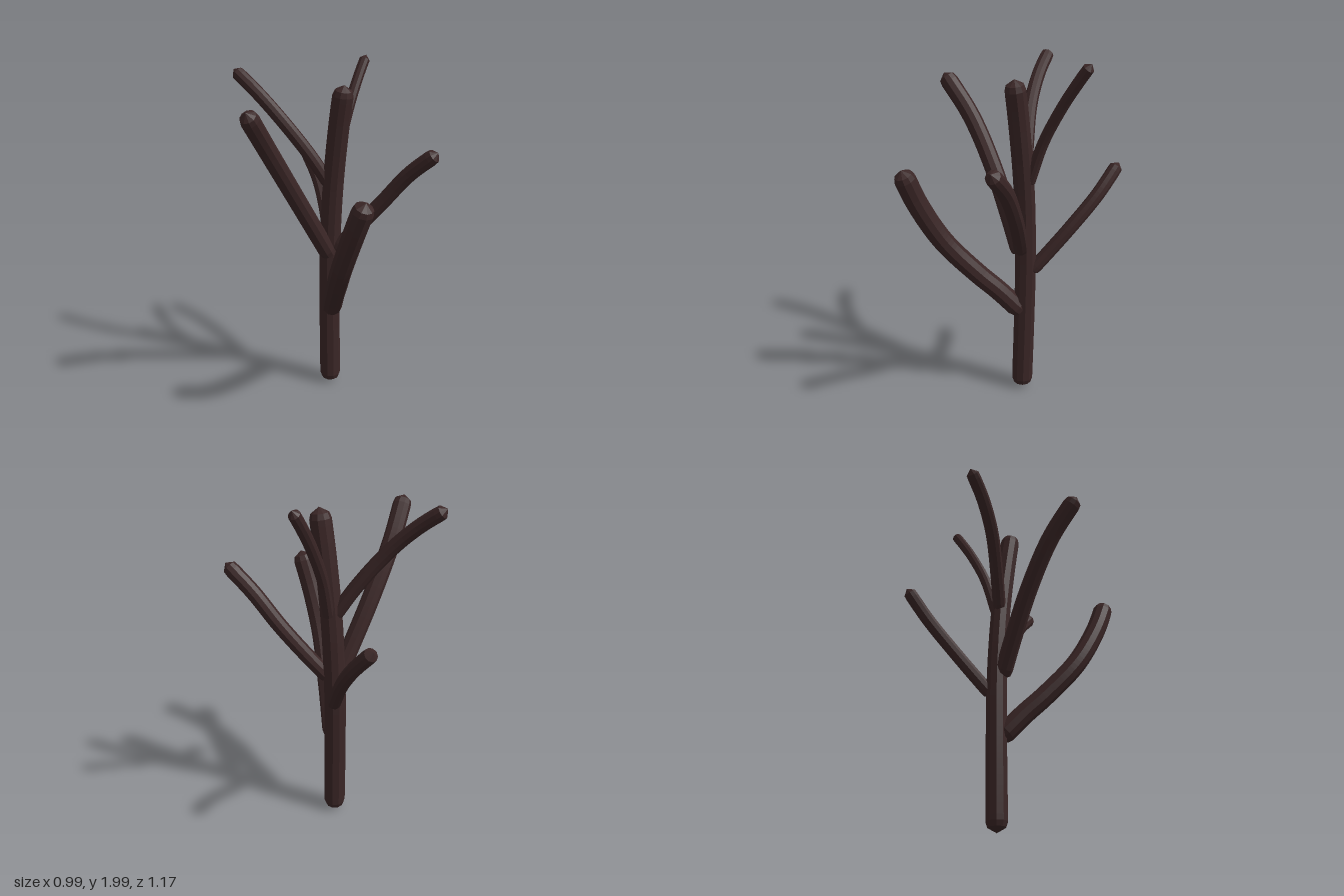
import * as THREE from 'three';

// Limb: a tube along a curve whose rings close into a short dome at both ends
function limbGeometry(points, radius, taper) {
  const curve = new THREE.CatmullRomCurve3(points.map((p) => new THREE.Vector3(...p)));
  const length = curve.getLength();
  const segments = Math.round(length / 0.03);
  const sides = 10;
  const geometry = new THREE.TubeGeometry(curve, segments, radius, sides, false);
  const pos = geometry.attributes.position;
  const v = new THREE.Vector3();
  const cap = radius * 1.1;
  for (let i = 0; i <= segments; i++) {
    const t = i / segments;
    const centre = curve.getPointAt(t);
    const d = Math.min(1, (Math.min(t, 1 - t) * length) / cap);
    const scale = Math.sqrt(1 - (1 - d) ** 2) * (1 + (taper - 1) * t);
    for (let j = 0; j <= sides; j++) {
      const k = i * (sides + 1) + j;
      v.fromBufferAttribute(pos, k).sub(centre).multiplyScalar(scale).add(centre);
      pos.setXYZ(k, v.x, v.y, v.z);
    }
  }
  geometry.computeVertexNormals();
  return geometry;
}

const limbs = [
  { name: 'trunk', r: 0.063, taper: 0.92, path: [
    [0.137, 0.01, -0.053], [0.137, 0.5, -0.064], [0.138, 0.9, -0.066],
    [0.14, 1.3, -0.046], [0.143, 1.65, -0.005], [0.147, 1.9, 0.035]] },
  { name: 'lowFrontBranch', r: 0.059, taper: 1, path: [
    [0.14, 0.52, -0.05], [0.06, 0.675, 0.07], [-0.005, 0.79, 0.17],
    [-0.1, 1.0, 0.33], [-0.138, 1.235, 0.46], [-0.138, 1.45, 0.555]] },
  { name: 'leftSideBranch', r: 0.051, taper: 1, path: [
    [0.125, 0.88, -0.045], [0, 1.1, -0.053], [-0.14, 1.34, -0.055],
    [-0.31, 1.61, -0.03], [-0.475, 1.84, 0.037]] },
  { name: 'frontRightBranch', r: 0.043, taper: 1, path: [
    [0.14, 0.92, -0.03], [0.22, 1.05, 0.05], [0.323, 1.24, 0.172],
    [0.4, 1.42, 0.295], [0.468, 1.565, 0.44]] },
  { name: 'lowBackBranch', r: 0.039, taper: 1, path: [
    [0.16, 0.78, -0.08], [0.205, 0.88, -0.155], [0.28, 1.06, -0.29],
    [0.328, 1.225, -0.43], [0.338, 1.385, -0.578]] },
  { name: 'upperBackBranch', r: 0.039, taper: 0.97, path: [
    [0.14, 1.3, -0.05], [0.05, 1.49, -0.14], [-0.06, 1.69, -0.26],
    [-0.135, 1.83, -0.38], [-0.197, 1.945, -0.515]] },
  { name: 'upperRightBranch', r: 0.032, taper: 0.97, path: [
    [0.165, 1.31, -0.055], [0.235, 1.56, -0.092], [0.335, 1.77, -0.13],
    [0.42, 1.91, -0.158], [0.482, 2.0, -0.176]] },
];

export function createModel() {
  const group = new THREE.Group();
  group.name = 'bareTree';
  const bark = new THREE.MeshStandardMaterial({ color: 0x3a2626 });
  bark.name = 'dark bark';
  bark.flatShading = true;
  for (const { name, r, taper, path } of limbs) {
    const mesh = new THREE.Mesh(limbGeometry(path, r, taper), bark);
    mesh.name = name;
    group.add(mesh);
  }
  return group;
}
